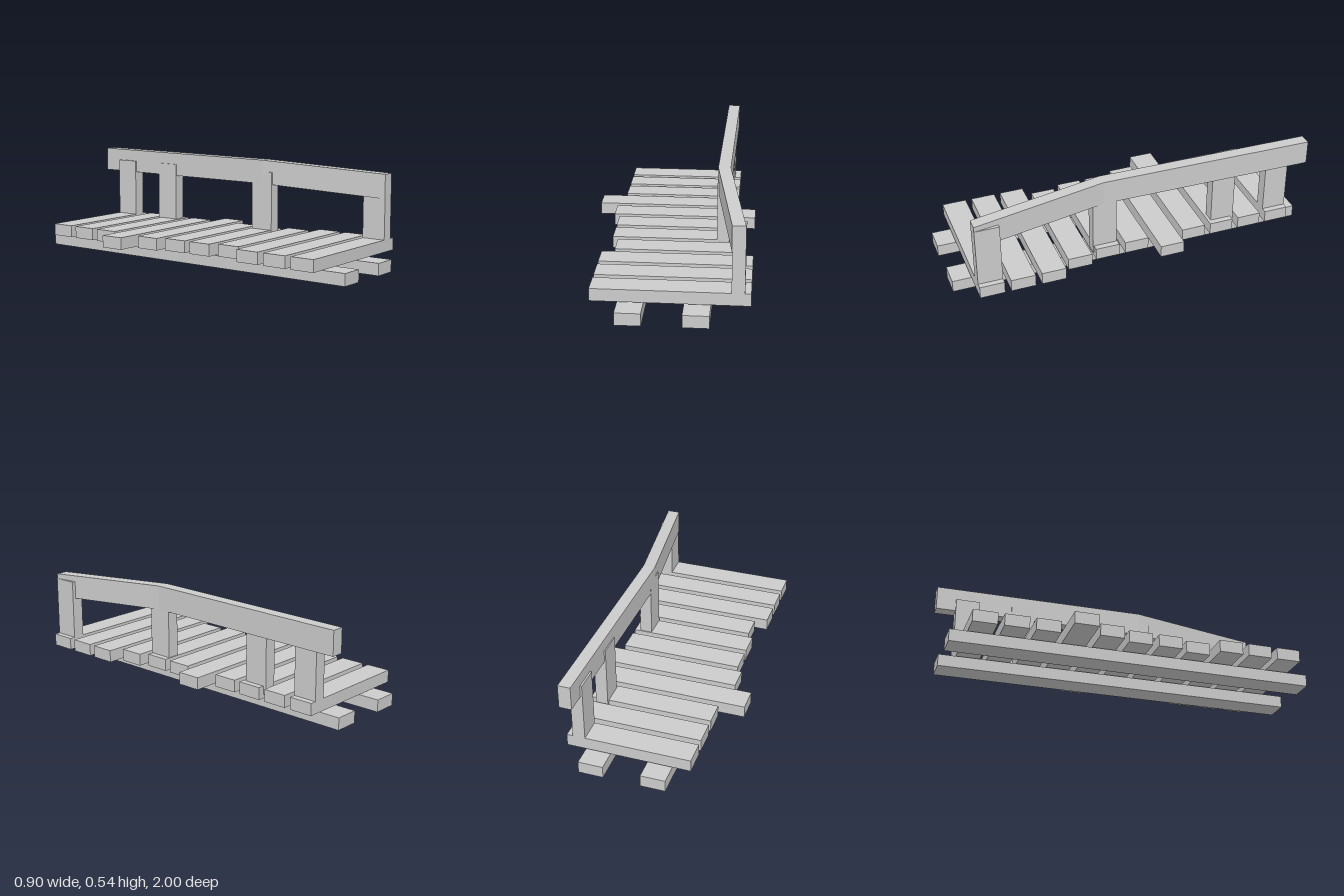
import * as THREE from 'three';

const material = new THREE.MeshStandardMaterial({ color: 0xcccccc, flatShading: true });

// Box given by its lower and upper limits on each axis
function block(name, [x0, x1], [y0, y1], [z0, z1]) {
  const mesh = new THREE.Mesh(new THREE.BoxGeometry(x1 - x0, y1 - y0, z1 - z0), material);
  mesh.position.set((x0 + x1) / 2, (y0 + y1) / 2, (z0 + z1) / 2);
  mesh.name = name;
  return mesh;
}

// Handrail: a bar with one bend, its three sections moved to their stations
function handrail() {
  const stations = [
    { x: 0.291, y: 0.469, z: -1.0 },
    { x: 0.279, y: 0.469, z: 0.18 },
    { x: 0.379, y: 0.431, z: 0.9 },
  ];
  const geometry = new THREE.BoxGeometry(0.067, 0.132, 2, 1, 1, 2);
  const p = geometry.attributes.position;
  for (let i = 0; i < p.count; i++) {
    const s = stations[Math.round(p.getZ(i)) + 1];
    p.setXYZ(i, p.getX(i) + s.x, p.getY(i) + s.y, s.z);
  }
  geometry.computeVertexNormals();
  const mesh = new THREE.Mesh(geometry, material);
  mesh.name = 'handrail';
  return mesh;
}

export function createModel() {
  const model = new THREE.Group();
  model.name = 'footbridge';

  // Two long beams on the ground
  model.add(block('rightBeam', [-0.216, -0.084], [0, 0.066], [-0.99, 1]));
  model.add(block('leftBeam', [0.115, 0.248], [0, 0.066], [-0.99, 1]));

  // Deck planks from back to front, some longer or shifted
  const normal = [-0.317, 0.345];
  const wide = [-0.35, 0.445];
  const spans = [normal, normal, normal, [-0.45, 0.345], wide, normal, normal,
    [-0.285, 0.378], wide, wide, wide];
  const deck = new THREE.Group();
  deck.name = 'deck';
  spans.forEach((span, i) => {
    const z = -0.826 + i * 0.166;
    deck.add(block('plank', span, [0.078, 0.144], [z - 0.066, z + 0.066]));
  });
  model.add(deck);

  // Posts that carry the handrail
  const posts = new THREE.Group();
  posts.name = 'posts';
  for (const [x, z] of [[0.279, -0.826], [0.279, -0.51], [0.279, 0.175], [0.381, 0.834]]) {
    posts.add(block('post', [x - 0.033, x + 0.033], [0.1, 0.47], [z - 0.066, z + 0.066]));
  }
  model.add(posts, handrail());
  return model;
}
